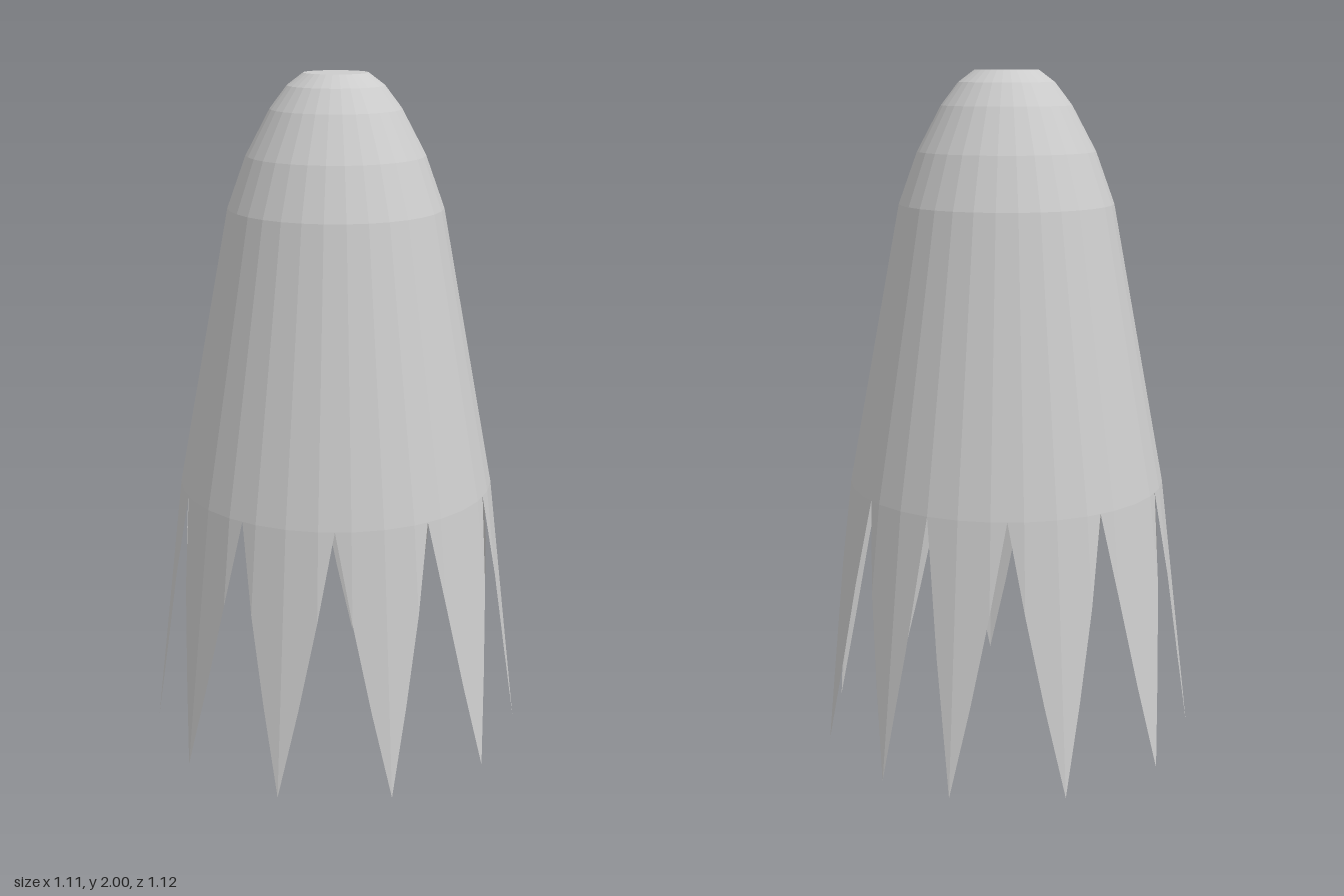
import * as THREE from 'three';

const SEGMENTS = 32;
const CENTRE_Z = -0.0055;
const VALLEY_Y = 0.79;
const VALLEY_R = 0.4725;
const TIP_R = 0.567;
const profile = (pts) => pts.map(([r, y]) => new THREE.Vector2(r, y));

// Segment positions of the spike tips; the last entry closes the ring
const TIPS = [0, 3, 6, 9, 12, 14, 17, 20, 23, 26, 29, 32];

// 0 at a spike tip, 1 at the valley midway between two tips
function hemRise(s) {
  const k = Math.min(TIPS.findIndex((t) => t > s), TIPS.length - 1);
  const i = k < 0 ? TIPS.length - 1 : k;
  const a = TIPS[i - 1], b = TIPS[i];
  return Math.min(s - a, b - s) / ((b - a) / 2);
}

// Faceted cone whose hem is cut into pointed spikes
function skirtGeometry() {
  const geo = new THREE.LatheGeometry(
    profile([[TIP_R, 0], [VALLEY_R, VALLEY_Y], [0.315, 1.62]]), SEGMENTS * 2);
  const pos = geo.attributes.position;
  for (let i = 0; i <= SEGMENTS * 2; i++) {
    // odd columns lie on the middle of a flat facet
    const flat = i % 2 ? Math.cos(Math.PI / SEGMENTS) : 1;
    const rise = hemRise(i / 2);
    const r = THREE.MathUtils.lerp(TIP_R, VALLEY_R, rise);
    const angle = (i / SEGMENTS) * Math.PI;
    for (let j = 0; j < 3; j++) {
      const v = i * 3 + j;
      if (j === 0) {
        pos.setXYZ(v, Math.sin(angle) * r * flat, rise * VALLEY_Y, Math.cos(angle) * r * flat);
      } else {
        pos.setXYZ(v, pos.getX(v) * flat, pos.getY(v), pos.getZ(v) * flat);
      }
    }
  }
  geo.computeVertexNormals();
  return geo;
}

export function createModel() {
  const group = new THREE.Group();
  const material = new THREE.MeshStandardMaterial({
    color: 0xcccccc, flatShading: true, side: THREE.DoubleSide,
  });
  const add = (name, geometry) => {
    const mesh = new THREE.Mesh(geometry, material);
    mesh.name = name;
    mesh.position.z = CENTRE_Z;
    group.add(mesh);
  };

  add('spikedSkirt', skirtGeometry());

  // Rounded dome with a flat top
  add('dome', new THREE.LatheGeometry(profile([
    [0.315, 1.62], [0.26, 1.77], [0.19, 1.9], [0.14, 1.965], [0.093, 2], [0, 2],
  ]), SEGMENTS));

  return group;
}
